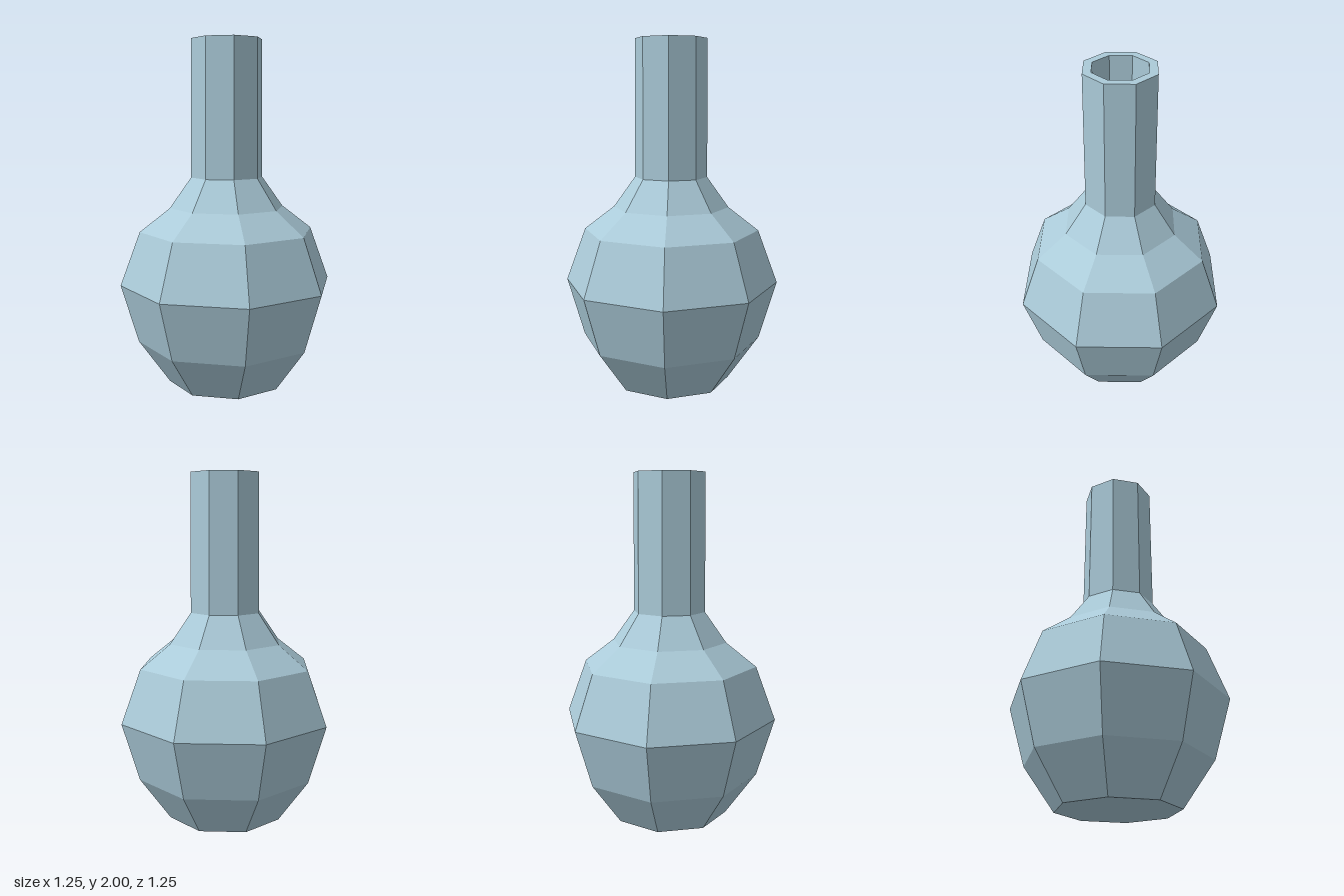
import * as THREE from 'three';

const glass = new THREE.MeshStandardMaterial({ color: 0xabcbd9, flatShading: true });
glass.name = 'paleBlueGlass';
const grey = new THREE.MeshStandardMaterial({ color: 0xd0d0d0, flatShading: true });
grey.name = 'lightGrey';

const SIDES = 8;

// Octagonal surface of revolution from [radius, height] pairs
function lathe(name, profile, material) {
  const points = profile.map(([r, y]) => new THREE.Vector2(r, y));
  const mesh = new THREE.Mesh(new THREE.LatheGeometry(points, SIDES), material);
  mesh.name = name;
  return mesh;
}

export function createModel() {
  const group = new THREE.Group();
  group.name = 'flask';

  // Closed base and faceted round belly
  group.add(lathe('belly', [
    [0, 0], [0.345, 0], [0.525, 0.255], [0.625, 0.595],
    [0.51, 0.905], [0.335, 1.04], [0.21, 1.215],
  ], glass));

  // Straight neck, flat rim and inner wall
  group.add(lathe('neck', [
    [0.21, 1.215], [0.205, 2], [0.157, 2], [0.157, 1.215],
  ], glass));

  // Floor at the bottom of the neck opening
  group.add(lathe('neckFloor', [[0.157, 1.215], [0, 1.215]], grey));

  return group;
}
